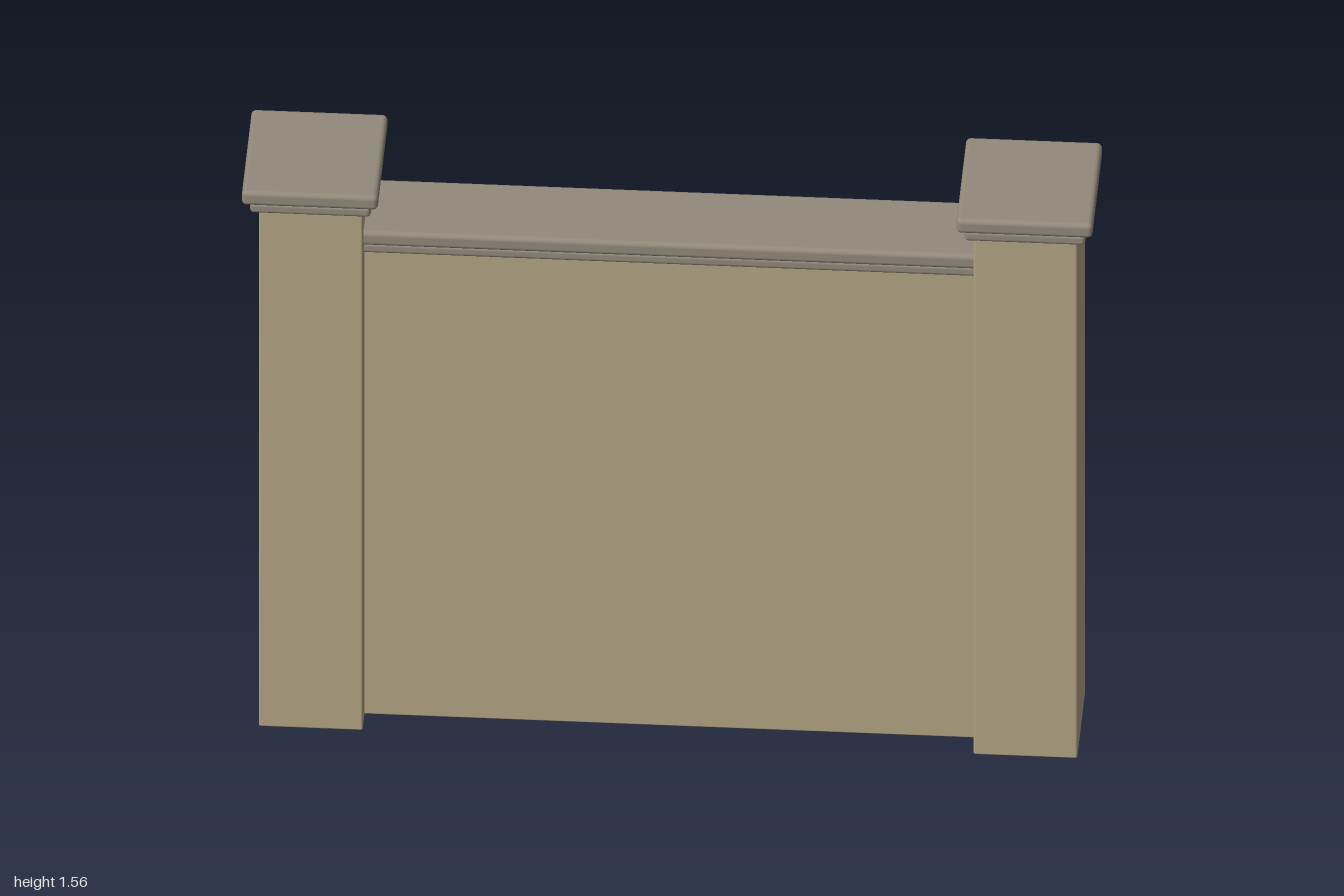
import * as THREE from 'three';
import { RoundedBoxGeometry } from 'three/addons/geometries/RoundedBoxGeometry.js';

export function createModel() {
  const model = new THREE.Group();
  model.name = 'gardenWall';

  const plaster = new THREE.MeshStandardMaterial({ color: 0xb3a384 });
  plaster.name = 'sandstone';
  const stone = new THREE.MeshStandardMaterial({ color: 0x92897a });
  stone.name = 'greyCapStone';

  // Softly rounded block between heights y0 and y1, centred on x
  function block(name, parent, material, x, y0, y1, width, depth, radius) {
    const geometry = new RoundedBoxGeometry(width, y1 - y0, depth, 3, radius);
    const mesh = new THREE.Mesh(geometry, material);
    mesh.name = name;
    mesh.position.set(x, (y0 + y1) / 2, 0);
    parent.add(mesh);
  }

  // Stepped moulding: rounded roll, recessed neck and projecting top slab
  function moulding(name, x, top, width, depth, endOverhang) {
    const group = new THREE.Group();
    group.name = name;
    const layers = [
      ['roll', 0.073, 0.044, 0.021, 0.01],
      ['neck', 0.052, 0.03, 0.014, 0.002],
      ['slab', 0.04, 0, 0.039, 0.012],
    ];
    for (const [part, from, to, out, radius] of layers) {
      block(part, group, stone, x, top - from, top - to,
        width + 2 * out * endOverhang, depth + 2 * out, radius);
    }
    model.add(group);
  }

  // Wall panel and its coping, both running into the pillars
  block('wallPanel', model, plaster, 0, 0.005, 1.36, 1.48, 0.146, 0.004);
  moulding('wallCoping', 0, 1.412, 1.48, 0.146, 0);

  // Matching pillars with caps
  for (const [side, x] of [['left', 0.84], ['right', -0.84]]) {
    block(side + 'Pillar', model, plaster, x, 0, 1.5, 0.244, 0.268, 0.005);
    moulding(side + 'PillarCap', x, 1.556, 0.242, 0.268, 1);
  }

  return model;
}
